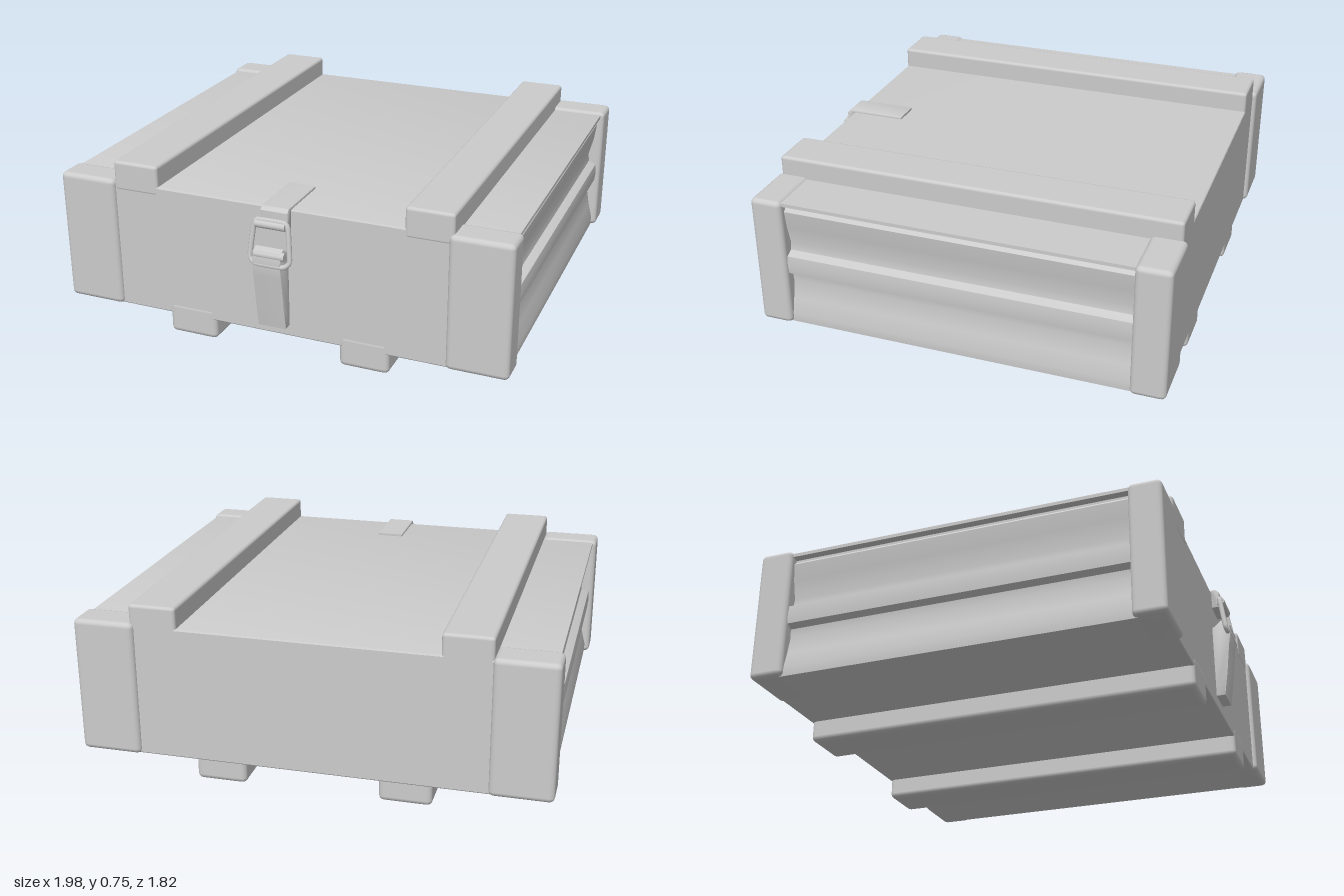
import * as THREE from 'three';
import { RoundedBoxGeometry } from 'three/addons/geometries/RoundedBoxGeometry.js';
import { toCreasedNormals } from 'three/addons/utils/BufferGeometryUtils.js';

export function createModel() {
  const group = new THREE.Group();
  const material = new THREE.MeshStandardMaterial({ color: 0xcccccc });

  const add = (name, geometry) => {
    const mesh = new THREE.Mesh(geometry, material);
    mesh.name = name;
    group.add(mesh);
    return mesh;
  };
  // Rounded block given by its limits on each axis
  const block = (name, [x0, x1], [y0, y1], [z0, z1], r = 0.015) => {
    const mesh = add(name, new RoundedBoxGeometry(x1 - x0, y1 - y0, z1 - z0, 2, r));
    mesh.position.set((x0 + x1) / 2, (y0 + y1) / 2, (z0 + z1) / 2);
    return mesh;
  };
  const shapeOf = (points) => new THREE.Shape(points.map(([x, y]) => new THREE.Vector2(x, y)));
  // (z, y) profile swept across x, centred on cx
  const sideProfile = (name, points, width, cx) => {
    const geometry = new THREE.ExtrudeGeometry(shapeOf(points), {
      depth: width - 0.01, bevelThickness: 0.005, bevelSize: 0.004, bevelOffset: -0.004, bevelSegments: 2,
    });
    geometry.rotateY(-Math.PI / 2).translate(cx + (width - 0.01) / 2, 0, 0);
    return add(name, toCreasedNormals(geometry, 0.6));
  };

  // Case body: end walls have a hand rail between two hollows
  const end = [
    [0.965, 0.09], [0.968, 0.13], [0.95, 0.2], [0.935, 0.28], [0.94, 0.315], [0.968, 0.33], [0.972, 0.37],
    [0.968, 0.41], [0.935, 0.425], [0.93, 0.46], [0.95, 0.54], [0.96, 0.615], [0.945, 0.63], [0.945, 0.64],
    [0.972, 0.645], [0.972, 0.66],
  ];
  const outline = [...end, ...end.map(([x, y]) => [-x, y]).reverse()];
  const body = new THREE.ExtrudeGeometry(shapeOf(outline), {
    depth: 1.70, bevelThickness: 0.01, bevelSize: 0.006, bevelOffset: -0.006, bevelSegments: 2,
  });
  body.translate(0, 0, -0.88);
  add('caseBody', toCreasedNormals(body, 0.6));

  // Corner posts wrap the four upright edges
  for (const s of [-1, 1]) {
    const x = s < 0 ? [-0.99, -0.73] : [0.73, 0.99];
    block('frontCorner', x, [0.09, 0.668], [0.71, 0.848], 0.022);
    block('backCorner', x, [0.09, 0.672], [-0.908, -0.76], 0.022);
  }

  // Lid battens and floor runners
  for (const x of [[-0.735, -0.53], [0.55, 0.75]]) block('lidBatten', x, [0.62, 0.75], [-0.89, 0.832], 0.014);
  for (const x of [[-0.505, -0.285], [0.275, 0.49]]) block('floorRunner', x, [0, 0.14], [-0.885, 0.832], 0.022);

  // Latch: strap folded over the lid edge
  sideProfile('latchStrap', [
    [0.59, 0.655], [0.83, 0.655], [0.83, 0.58], [0.865, 0.58], [0.865, 0.655], [0.85, 0.67], [0.59, 0.67],
  ], 0.12, 0.015);

  // Latch: tapering lever on the front face
  sideProfile('latchLever', [
    [0.82, 0.14], [0.868, 0.14], [0.885, 0.25], [0.9, 0.38], [0.91, 0.44], [0.9, 0.49], [0.87, 0.5], [0.82, 0.46],
  ], 0.125, -0.005);

  // Latch: wire loop joining lever and strap
  const loop = new THREE.CatmullRomCurve3([
    [-0.055, 0.615, 0.87], [0.065, 0.615, 0.87], [0.08, 0.59, 0.873], [0.092, 0.46, 0.892], [0.065, 0.435, 0.9],
    [-0.055, 0.435, 0.9], [-0.082, 0.46, 0.892], [-0.07, 0.59, 0.873],
  ].map((p) => new THREE.Vector3(...p)), true, 'catmullrom', 0.2);
  add('latchLoop', new THREE.TubeGeometry(loop, 64, 0.011, 8, true));

  // Latch: pin across the lever and hinge at the strap
  for (const [y, z, w] of [[0.475, 0.888, 0.13], [0.6, 0.872, 0.13]]) {
    const pin = add('latchPin', new THREE.CylinderGeometry(0.018, 0.018, w, 16));
    pin.rotation.z = Math.PI / 2;
    pin.position.set(0.005, y, z);
  }

  return group;
}
